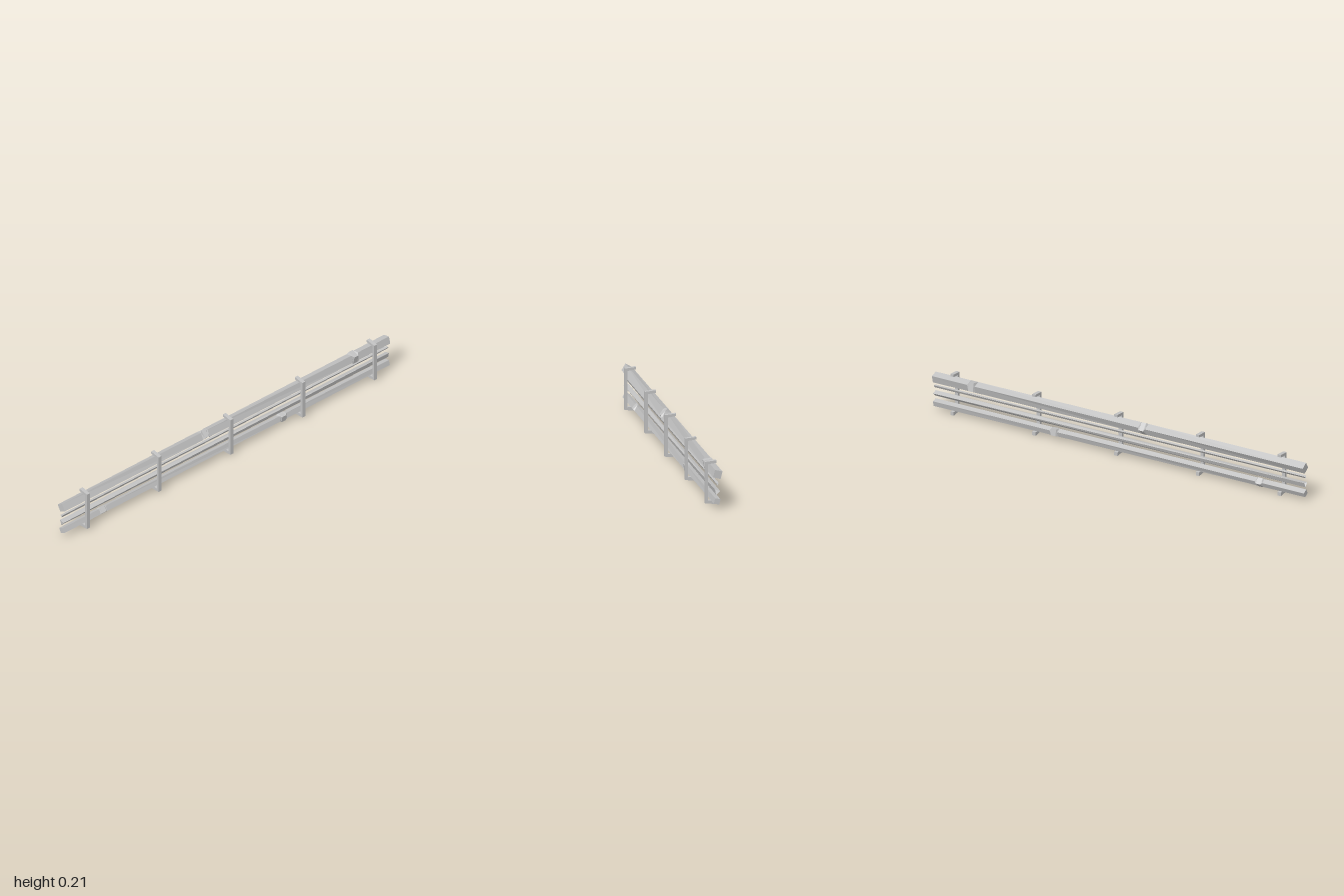
import * as THREE from 'three';

const steel = new THREE.MeshStandardMaterial({ color: 0xc2c2c2 });
steel.name = 'steel grey';
steel.flatShading = true;
steel.side = THREE.DoubleSide;

// Polygon tube along x; each ring is [x, radius, angle in degrees]
function tube(name, sides, y, z, rings, capped) {
  const pos = [], idx = [];
  for (const [x, r, deg] of rings) {
    for (let j = 0; j < sides; j++) {
      const a = THREE.MathUtils.degToRad(deg) + (j / sides) * Math.PI * 2;
      pos.push(x, y + r * Math.sin(a), z - r * Math.cos(a));
    }
  }
  for (let i = 0; i < rings.length - 1; i++) {
    for (let j = 0; j < sides; j++) {
      const k = (j + 1) % sides;
      const a = i * sides + j, b = i * sides + k;
      idx.push(a, b, b + sides, a, b + sides, a + sides);
    }
  }
  if (capped) {
    const e = (rings.length - 1) * sides;
    for (let j = 1; j < sides - 1; j++) idx.push(0, j + 1, j, e, e + j, e + j + 1);
  }
  const geo = new THREE.BufferGeometry();
  geo.setAttribute('position', new THREE.Float32BufferAttribute(pos, 3));
  geo.setIndex(idx);
  const flat = geo.toNonIndexed();
  flat.computeVertexNormals();
  const mesh = new THREE.Mesh(flat, steel);
  mesh.name = name;
  return mesh;
}

// Square pipe, twisting from one end to the other, with flared couplings
function coupledPipe(name, y, z, r, a0, a1, joints, jointR) {
  const angle = x => a0 + (a1 - a0) * (x + 1) / 2;
  const rings = [[-1, r, angle(-1)]];
  joints.forEach((x, i) => {
    const turn = i % 2 ? 28 : -22;
    rings.push(
      [x - 0.02, r, angle(x)],
      [x - 0.012, jointR, angle(x) + turn],
      [x + 0.012, jointR, angle(x) + turn],
      [x + 0.02, r, angle(x)]);
  });
  rings.push([1, r, angle(1)]);
  return tube(name, 4, y, z, rings, true);
}

export function createModel() {
  const model = new THREE.Group();
  model.name = 'pipeRack';

  // Pipes from top to bottom
  model.add(
    coupledPipe('topPipe', 0.168, -0.006, 0.026, 14, 30, [-0.13, 0.79], 0.03),
    tube('thinPipe', 3, 0.123, -0.004, [[-1, 0.008, 20], [1, 0.008, 30]], false),
    tube('middlePipe', 3, 0.085, -0.003, [[-1, 0.015, 38], [1, 0.015, 12]], false),
    coupledPipe('bottomPipe', 0.039, -0.003, 0.0185, 18, 31, [-0.755, 0.35], 0.023));

  // C-shaped brackets, profile drawn as (z, y)
  const profile = new THREE.Shape([
    [0.033, 0.007], [0.033, 0.206], [-0.02, 0.211], [-0.02, 0.199],
    [0.02, 0.194], [0.02, 0.02], [-0.02, 0.02], [-0.02, 0.002],
  ].map(([z, y]) => new THREE.Vector2(-z, y)));
  const bracketGeo = new THREE.ExtrudeGeometry(profile, { depth: 0.018, bevelEnabled: false });
  bracketGeo.translate(0, 0, -0.009).rotateY(Math.PI / 2);
  [-0.867, -0.427, 0.013, 0.455, 0.896].forEach((x, i) => {
    const bracket = new THREE.Mesh(bracketGeo, steel);
    bracket.name = 'bracket' + (i + 1);
    bracket.position.x = x;
    model.add(bracket);
  });
  return model;
}
